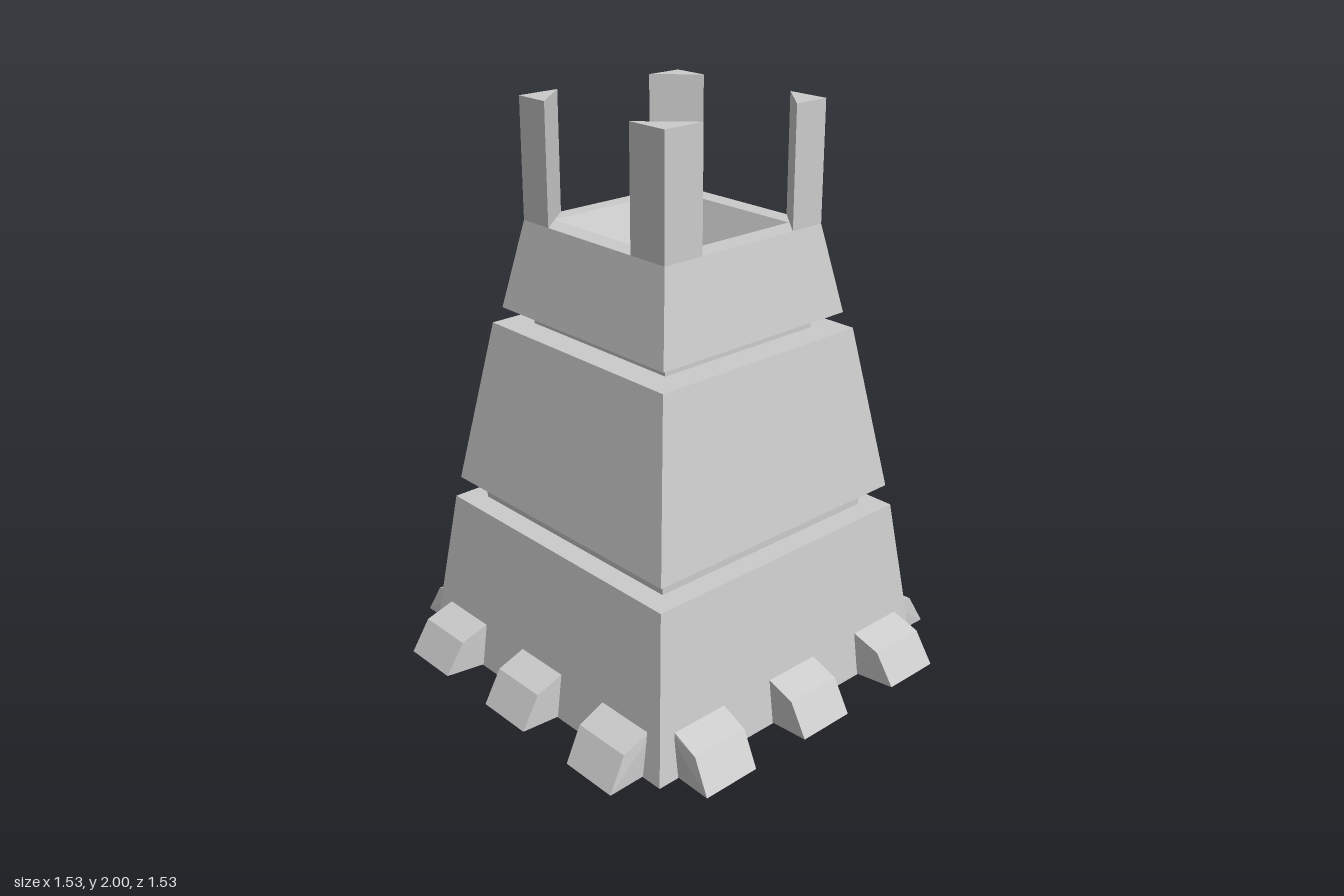
import * as THREE from 'three';
import { ConvexGeometry } from 'three/addons/geometries/ConvexGeometry.js';

const material = new THREE.MeshStandardMaterial({ color: 0xcccccc, flatShading: true });
const thin = new THREE.MeshStandardMaterial({ color: 0xcccccc, flatShading: true, side: THREE.DoubleSide });

// Square block tapering from half-width r0 at y0 to r1 at y1
function taper(r0, y0, r1, y1, open = false) {
  const g = new THREE.CylinderGeometry(r1 * Math.SQRT2, r0 * Math.SQRT2, y1 - y0, 4, 1, open);
  g.rotateY(Math.PI / 4);
  g.translate(0, (y0 + y1) / 2, 0);
  return g;
}

// Foot block: a sloped profile [outward, height, sideways shift] given a width
function foot(a, b, lean) {
  const profile = [[0.58, 0, 0], [0.765, 0.012, 1], [0.7, 0.125, 0.4], [0.6, 0.16, 0], [0.56, 0.16, 0]];
  const points = [];
  for (const [out, y, k] of profile) {
    for (const x of [a, b]) points.push(new THREE.Vector3(x + lean * k, y, out));
  }
  return new ConvexGeometry(points);
}

export function createModel() {
  const model = new THREE.Group();
  const add = (name, geometry, mat = material, parent = model) => {
    const mesh = new THREE.Mesh(geometry, mat);
    mesh.name = name;
    parent.add(mesh);
    return mesh;
  };

  // Stacked tower with recessed bands
  add('baseTier', taper(0.62, 0, 0.545, 0.57));
  add('lowerBand', taper(0.465, 0.56, 0.465, 0.65));
  add('middleTier', taper(0.53, 0.645, 0.43, 1.23));
  add('upperBand', taper(0.33, 1.22, 0.33, 1.29));
  add('topTierWalls', taper(0.405, 1.285, 0.345, 1.59, true), thin);
  const underside = new THREE.PlaneGeometry(0.81, 0.81);
  underside.rotateX(Math.PI / 2);
  add('topTierUnderside', underside, thin).position.y = 1.285;

  // Rim around the sunken pit
  const r = 0.345, pit = 0.274, px = 0.002, pz = -0.01;
  const square = (h, x = 0, y = 0) => [[-h, -h], [h, -h], [h, h], [-h, h]]
    .map(([u, v]) => new THREE.Vector2(x + u, y + v));
  const rim = new THREE.Shape(square(r));
  rim.holes.push(new THREE.Path(square(pit, px, -pz).reverse()));
  const rimGeometry = new THREE.ShapeGeometry(rim);
  rimGeometry.rotateX(-Math.PI / 2);
  add('topRim', rimGeometry).position.y = 1.59;

  // Pit walls and floor
  const floorY = 1.31;
  add('pitWalls', taper(0.152, floorY, pit, 1.59, true), thin).position.set(px, 0, pz);
  const floor = new THREE.PlaneGeometry(0.304, 0.304);
  floor.rotateX(-Math.PI / 2);
  add('pitFloor', floor, thin).position.set(px, floorY, pz);

  // Triangular corner posts; each reaches from its corner to the cut lines
  const posts = new THREE.Group();
  posts.name = 'cornerPosts';
  model.add(posts);
  for (const sx of [-1, 1]) {
    for (const sz of [-1, 1]) {
      const cutX = sx < 0 ? -0.19 : 0.21;
      const cutZ = sz < 0 ? -0.215 : 0.19;
      const triangle = new THREE.Shape([
        new THREE.Vector2(sx * r, -sz * r),
        new THREE.Vector2(cutX, -sz * r),
        new THREE.Vector2(sx * r, -cutZ),
      ]);
      const g = new THREE.ExtrudeGeometry(triangle, { depth: 0.41, bevelEnabled: false });
      g.rotateX(-Math.PI / 2);
      add('cornerPost', g, material, posts).position.y = 1.59;
    }
  }

  // Three foot blocks on each side
  for (let i = 0; i < 4; i++) {
    const side = new THREE.Group();
    side.name = 'footBlocks';
    side.rotation.y = i * Math.PI / 2;
    add('outerFoot', foot(-0.537, -0.32, -0.016), material, side);
    add('middleFoot', foot(-0.108, 0.106, 0), material, side);
    add('outerFoot', foot(0.32, 0.537, 0.016), material, side);
    model.add(side);
  }
  return model;
}
